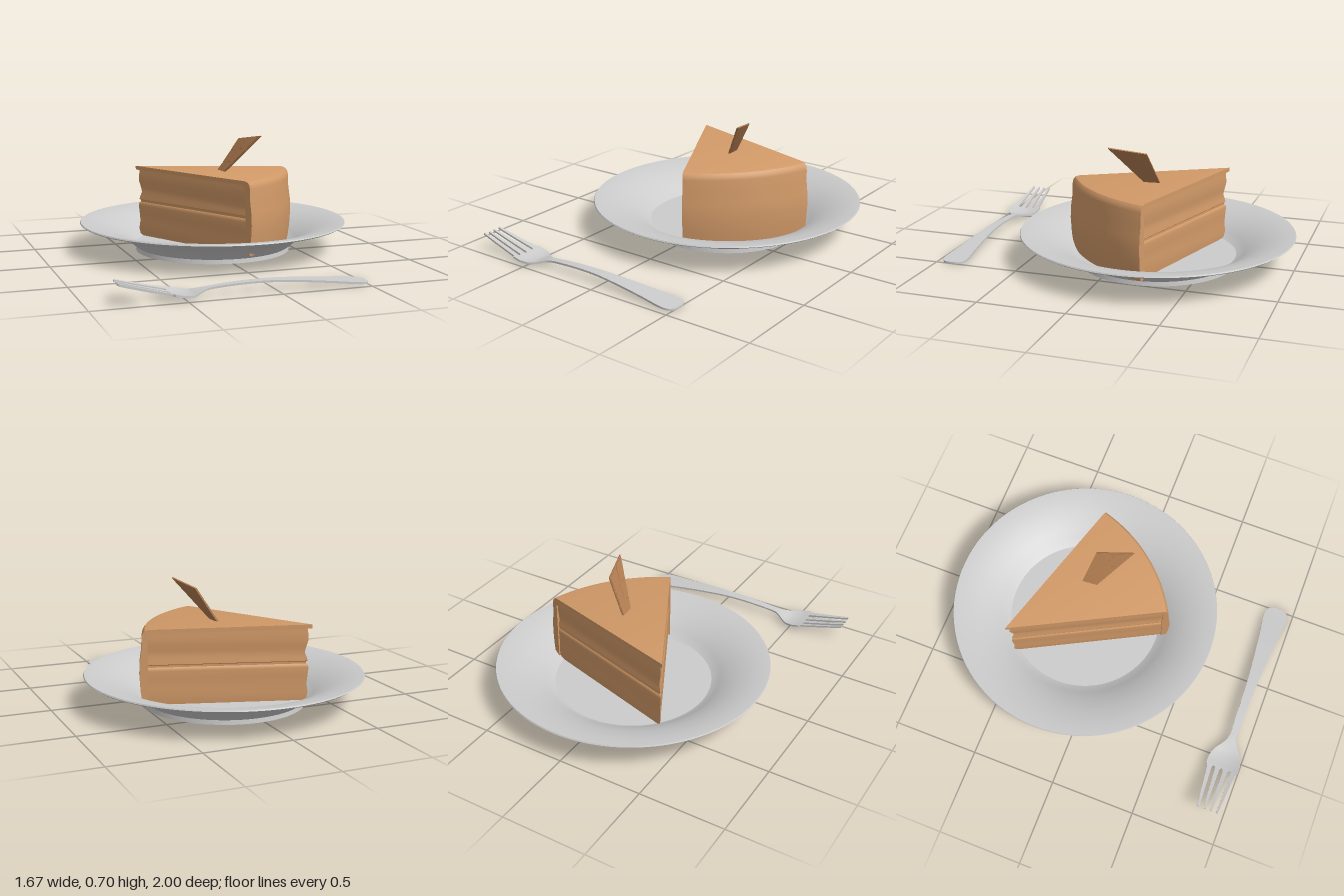
import * as THREE from 'three';
import { toCreasedNormals } from 'three/addons/utils/BufferGeometryUtils.js';

const V2 = (p) => new THREE.Vector2(...p);
const V3 = (p) => new THREE.Vector3(...p);
const grey = new THREE.MeshStandardMaterial({ color: 0xcccccc });
const tan = new THREE.MeshStandardMaterial({ color: 0xd29a68, side: THREE.DoubleSide });
const brown = new THREE.MeshStandardMaterial({ color: 0xb07c50 });

function add(parent, name, geometry, material, crease = 0.6) {
  const mesh = new THREE.Mesh(toCreasedNormals(geometry, crease), material);
  mesh.name = name;
  parent.add(mesh);
  return mesh;
}

// Moves every vertex of a box by a rule: fn(x, y, z) returns a Vector3
function bentBox(segX, segZ, fn) {
  const g = new THREE.BoxGeometry(1, 1, 1, segX, 1, segZ);
  const p = g.attributes.position;
  for (let i = 0; i < p.count; i++) {
    const v = fn(p.getX(i), p.getY(i), p.getZ(i));
    p.setXYZ(i, v.x, v.y, v.z);
  }
  return g;
}

// Plate: wide sloping rim, flat well and foot ring
function makePlate() {
  const profile = [[0, 0.018], [0.435, 0.018], [0.44, 0], [0.465, 0], [0.462, 0.025], [0.475, 0.034],
    [0.505, 0.06], [0.555, 0.092], [0.635, 0.13], [0.72, 0.157], [0.79, 0.166], [0.8, 0.173], [0.796, 0.18],
    [0.735, 0.174], [0.64, 0.147], [0.56, 0.11], [0.51, 0.077], [0.485, 0.058], [0.46, 0.045], [0, 0.045]];
  const plate = new THREE.Group();
  plate.name = 'plate';
  plate.position.set(0.035, 0, -0.2);
  add(plate, 'plateDish', new THREE.LatheGeometry(profile.map(V2), 96), grey, 0.45);
  return plate;
}

// Cake slice: wedge with its tip at the group origin
function makeCake() {
  const cake = new THREE.Group();
  cake.name = 'cakeSlice';
  cake.position.set(-0.355, 0, -0.53);
  const a0 = THREE.MathUtils.degToRad(16.6), a1 = THREE.MathUtils.degToRad(62.4);
  const mid = (a0 + a1) / 2, half = (a1 - a0) / 2;

  // Sponge: wedge outlines stacked by [height, inset of the cut faces]
  const layers = [[0.045, 0.012], [0.09, 0.008], [0.14, 0.011], [0.19, 0.009], [0.235, 0.007], [0.252, 0.009],
    [0.256, 0.013], [0.268, 0.013], [0.272, 0.009], [0.29, 0.011], [0.32, 0.016], [0.35, 0.013], [0.39, 0.008],
    [0.43, 0.009], [0.465, 0.011]];
  const N = 16, ring = N + 2, R = 0.925, pos = [], idx = [];
  layers.forEach(([y, d]) => {
    const s = d / Math.sin(half), da = Math.asin(d / R);
    pos.push(s * Math.cos(mid), y, s * Math.sin(mid));
    for (let k = 0; k <= N; k++) {
      const a = a0 + da + (a1 - a0 - 2 * da) * k / N;
      pos.push(R * Math.cos(a), y, R * Math.sin(a));
    }
  });
  for (let j = 0; j < layers.length - 1; j++) {
    for (let i = 0; i < ring; i++) {
      const a = j * ring + i, b = j * ring + (i + 1) % ring;
      idx.push(a, a + ring, b + ring, a, b + ring, b);
    }
  }
  for (let i = 1; i < ring - 1; i++) idx.push(0, i, i + 1);
  const sponge = new THREE.BufferGeometry();
  sponge.setAttribute('position', new THREE.Float32BufferAttribute(pos, 3));
  sponge.setIndex(idx);
  add(cake, 'sponge', sponge, tan, 0.7);

  // Frosting: top sheet and rounded outer wall, swept around the tip
  const profile = [[0, 0.457], [0.89, 0.448], [0.912, 0.42], [0.915, 0.045], [0.943, 0.045], [0.954, 0.12],
    [0.96, 0.22], [0.957, 0.29], [0.947, 0.36], [0.945, 0.43], [0.94, 0.452], [0.928, 0.466], [0.905, 0.472],
    [0, 0.48]].map(V2);
  const phi = Math.PI / 2 - a1;
  add(cake, 'frosting', new THREE.LatheGeometry(profile, 24, phi, a1 - a0), tan, 0.6);
  [a0, a1].forEach((a) => {
    const end = new THREE.ShapeGeometry(new THREE.Shape(profile));
    add(cake, 'frostingEnd', end.rotateY(-a), tan);
  });
  return cake;
}

// Chocolate piece: leaning thin slab with raised squares
function makeChocolate() {
  const chocolate = new THREE.Group();
  chocolate.name = 'chocolatePiece';
  const [p0, p1, p2, p3] = [[0.065, 0.44, -0.235], [0.2, 0.665, -0.183], [0.26, 0.698, 0.025], [0.068, 0.44, -0.16]].map(V3);
  const normal = p1.clone().sub(p0).cross(p3.clone().sub(p0)).normalize();
  const at = (u, v) => p0.clone().lerp(p1, u).lerp(p3.clone().lerp(p2, u), v);
  const slab = (name, u0, u1, v0, v1, thick, offset) => {
    // x runs along the piece, -z across it, y along the normal away from it
    const g = bentBox(1, 1, (x, y, z) => at(u0 + (u1 - u0) * (x + 0.5), v0 + (v1 - v0) * (z + 0.5))
      .addScaledVector(normal, -y * thick + offset));
    add(chocolate, name, g, brown, 0.3);
  };
  slab('chocolateSlab', 0, 1, 0, 1, 0.008, 0);
  const gap = 0.025;
  for (let i = 0; i < 3; i++) {
    for (let j = 0; j < 2; j++) {
      slab('chocolateSquare', i / 3 + gap, (i + 1) / 3 - gap, j / 2 + gap, (j + 1) / 2 - gap, 0.005, -0.005);
    }
  }
  return chocolate;
}

// Fork lying along x
function makeFork() {
  const fork = new THREE.Group();
  fork.name = 'fork';
  fork.position.z = 0.9;
  const thick = 0.011;
  const cup = (x, z) => 1.2 * z * z * THREE.MathUtils.smoothstep(-x, 0.38, 0.5);

  // Handle and head: spline of (x, height, half width)
  const spine = new THREE.CatmullRomCurve3([[-0.57, 0.028, 0.098], [-0.52, 0.017, 0.096], [-0.47, 0.015, 0.08],
    [-0.42, 0.028, 0.045], [-0.38, 0.038, 0.024], [-0.25, 0.05, 0.024], [-0.05, 0.054, 0.029], [0.15, 0.042, 0.043],
    [0.3, 0.028, 0.056], [0.46, 0.012, 0.07], [0.495, 0.009, 0.055], [0.51, 0.008, 0.03]].map(V3));
  add(fork, 'forkHandle', bentBox(66, 8, (x, y, z) => {
    const s = spine.getPoint(x + 0.5), zz = z * 2 * s.z;
    return new THREE.Vector3(s.x, s.y + y * thick + cup(s.x, zz), zz);
  }), grey, 0.7);

  // Tines: taper to the tip and flare into the head
  const rise = new THREE.CatmullRomCurve3([[-0.84, 0.099, 0], [-0.75, 0.074, 0], [-0.65, 0.048, 0], [-0.57, 0.028, 0]].map(V3));
  for (const k of [-1.5, -0.5, 0.5, 1.5]) {
    add(fork, 'tine', bentBox(40, 2, (x, y, z) => {
      const u = x + 0.5, s = rise.getPoint(u);
      const flare = Math.max(0, 1 - (-0.57 - s.x) / 0.014);
      const w = THREE.MathUtils.lerp(0.006, 0.0145, u) + 0.01 * (1 - Math.sqrt(1 - Math.min(1, flare) ** 2));
      const zz = k * THREE.MathUtils.lerp(0.0375, 0.049, u) + z * 2 * w;
      return new THREE.Vector3(s.x, s.y + y * thick + cup(s.x, zz), zz);
    }), grey, 0.7);
  }
  return fork;
}

export function createModel() {
  const model = new THREE.Group();
  model.name = 'cakeOnPlateWithFork';
  model.add(makePlate(), makeCake(), makeChocolate(), makeFork());
  return model;
}
